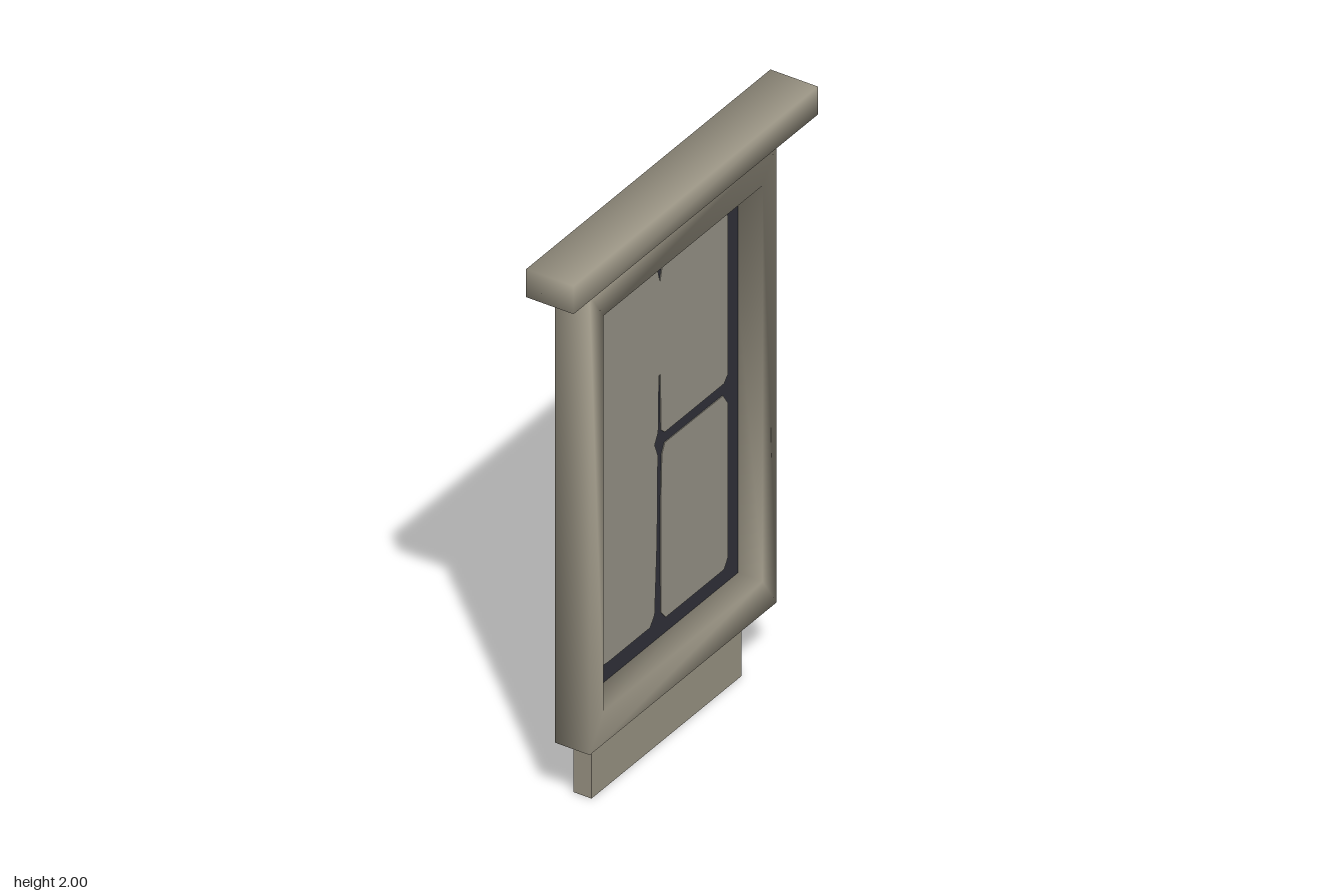
import * as THREE from 'three';

const stone = new THREE.MeshStandardMaterial({ name: 'warm grey stone', color: 0x9a9484 });
const pane = new THREE.MeshStandardMaterial({ name: 'dusty glass', color: 0x979387 });
const lead = new THREE.MeshStandardMaterial({ name: 'dark lead', color: 0x30313a });

const GLASS_X = -0.05;

// Smooth skin through four-cornered rings; optionally looped back to the first ring or capped.
function skin(rings, { loop = false, cap = false } = {}) {
  const n = rings.length, index = [];
  for (let i = 0; i < (loop ? n : n - 1); i++) {
    for (let k = 0; k < 4; k++) {
      const a = i * 4 + k, b = i * 4 + (k + 1) % 4;
      const d = ((i + 1) % n) * 4 + k, c = ((i + 1) % n) * 4 + (k + 1) % 4;
      index.push(a, b, c, a, c, d);
    }
  }
  if (cap) {
    const t = (n - 1) * 4;
    index.push(t, t + 1, t + 2, t, t + 2, t + 3);
  }
  const g = new THREE.BufferGeometry();
  g.setAttribute('position', new THREE.Float32BufferAttribute(rings.flat(2), 3));
  g.setIndex(index);
  g.computeVertexNormals();
  return g;
}

// Upright rectangle at depth x
const upright = (x, z, y0, y1) => [[x, y0, z], [x, y0, -z], [x, y1, -z], [x, y1, z]];
// Level rectangle at height y
const level = (y, x0, x1, z) => [[x0, y, z], [x1, y, z], [x1, y, -z], [x0, y, -z]];

// Thin plate lying in the window plane, showing on both sides
function plate(points, thickness) {
  const shape = new THREE.Shape(points.map(([x, y]) => new THREE.Vector2(x, y)));
  const g = new THREE.ExtrudeGeometry(shape, { depth: thickness, bevelEnabled: false });
  g.translate(0, 0, -thickness / 2);
  g.rotateY(Math.PI / 2);
  g.translate(GLASS_X, 0, 0);
  return g;
}

export function createModel() {
  const model = new THREE.Group();
  model.name = 'window';
  const add = (name, geometry, material) => {
    const m = new THREE.Mesh(geometry, material);
    m.name = name;
    model.add(m);
    return m;
  };

  // Surround with an open middle
  add('frame', skin([
    upright(-0.085, 0.505, 0.23, 1.865),
    upright(0.04, 0.505, 0.23, 1.865),
    upright(0.04, 0.43, 0.345, 1.755),
    upright(-0.085, 0.43, 0.345, 1.755),
  ], { loop: true }), stone);

  // Overhanging top with a sloping underside
  add('lintel', skin([
    level(1.865, -0.085, 0.04, 0.505),
    level(1.9, -0.085, 0.085, 0.66),
    level(2, -0.085, 0.085, 0.66),
  ], { cap: true }), stone);

  // Block under the frame
  add('apron', new THREE.BoxGeometry(0.065, 0.23, 0.81), stone)
    .position.set(-0.0525, 0.115, 0);

  // Dark leading behind the panes
  add('leading', plate([[-0.43, 0.345], [0.43, 0.345], [0.43, 1.755], [-0.43, 1.755]], 0.003), lead);

  // Three worn panes that run into each other
  add('joinedPanes', plate([
    [-0.38, 0.42], [-0.28, 0.408], [-0.05, 0.408], [-0.025, 0.44], [-0.012, 0.7],
    [-0.008, 1.0], [-0.025, 1.045], [-0.006, 1.08], [-0.002, 1.28], [0.006, 1.28],
    [0.01, 1.08], [0.03, 1.062], [0.35, 1.062], [0.372, 1.085], [0.37, 1.65],
    [0.35, 1.685], [0.04, 1.69], [0.018, 1.67], [0.004, 1.61], [-0.012, 1.67],
    [-0.035, 1.688], [-0.36, 1.69], [-0.39, 1.66], [-0.398, 1.09], [-0.38, 1.062],
    [-0.33, 1.047], [-0.38, 1.035], [-0.4, 0.98], [-0.405, 0.65], [-0.395, 0.46],
  ], 0.009), pane);

  // Separate lower pane
  add('lowerPane', plate([
    [0.035, 0.4], [0.35, 0.4], [0.37, 0.43], [0.372, 0.98], [0.345, 1.022],
    [0.03, 1.025], [0.014, 0.99], [0.008, 0.8], [0.01, 0.43],
  ], 0.009), pane);

  return model;
}
